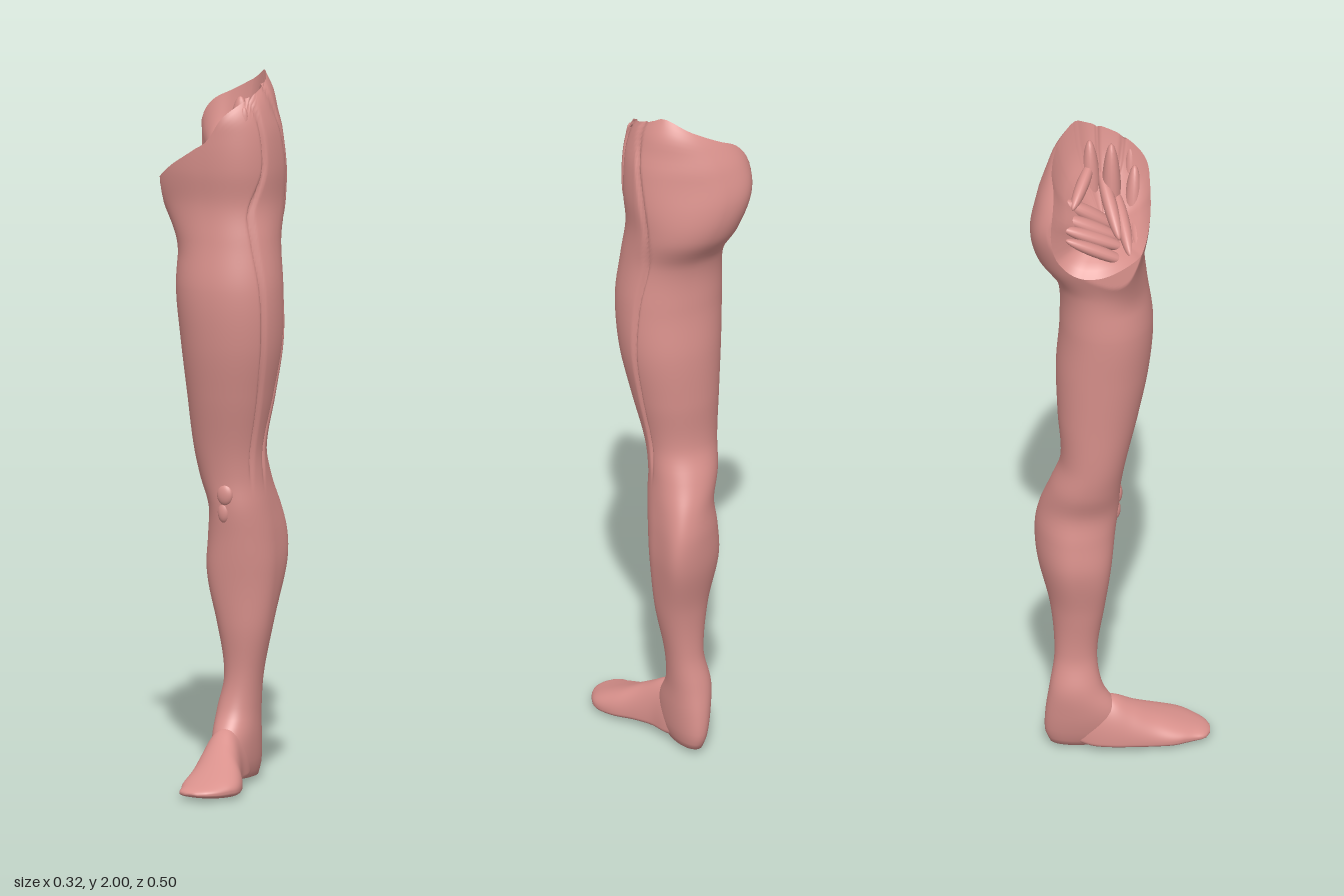
import * as THREE from 'three';

const SKIN = 0xd9918c;
const SEG = 160;
const CUT = -0.162; // flat inner cutting plane
const { lerp, clamp, degToRad, smoothstep } = THREE.MathUtils;

const makeMesh = (name, geo) => {
  const mesh = new THREE.Mesh(geo, new THREE.MeshStandardMaterial({ color: SKIN, side: THREE.DoubleSide }));
  mesh.name = name;
  return mesh;
};

// Skin a list of closed rings of equal length
function loft(rings, flip) {
  const n = rings[0].length, idx = [];
  for (let k = 0; k + 1 < rings.length; k++) {
    for (let i = 0; i < n; i++) {
      const a = k * n + i, b = k * n + (i + 1) % n, c = a + n, d = b + n;
      if (flip) idx.push(a, b, c, b, d, c);
      else idx.push(a, c, b, b, c, d);
    }
  }
  const geo = new THREE.BufferGeometry();
  geo.setAttribute('position', new THREE.Float32BufferAttribute(rings.flat(2), 3));
  geo.setIndex(idx);
  geo.computeVertexNormals();
  return geo;
}

// Smooth lookup in a table sorted by its first column
function sample(table, t) {
  let i = 0;
  while (i < table.length - 2 && t > table[i + 1][0]) i++;
  const at = (j) => table[clamp(j, 0, table.length - 1)];
  const p = at(i), q = at(i + 1), o = at(i - 1), r = at(i + 2);
  const h = q[0] - p[0], u = clamp((t - p[0]) / h, 0, 1);
  return p.map((v, c) => {
    const m0 = (q[c] - o[c]) / (q[0] - o[0]) * h, m1 = (r[c] - v) / (r[0] - p[0]) * h;
    const u2 = u * u, u3 = u2 * u;
    return (2 * u3 - 3 * u2 + 1) * v + (u3 - 2 * u2 + u) * m0 + (3 * u2 - 2 * u3) * q[c] + (u3 - u2) * m1;
  });
}

const spow = (v, p) => Math.sign(v) * Math.abs(v) ** p;
const bump = (v, centre, width) => Math.exp(-(((v - centre) / width) ** 2));

// height, inner x, outer x, back z, front z
const LEG = [
  [0.014, -0.03, 0.035, -0.19, -0.04],
  [0.05, -0.045, 0.045, -0.204, 0],
  [0.12, -0.06, 0.05, -0.203, 0],
  [0.2, -0.064, 0.05, -0.192, -0.045],
  [0.3, -0.044, 0.06, -0.178, -0.06],
  [0.45, -0.06, 0.09, -0.19, -0.04],
  [0.6, -0.09, 0.106, -0.226, -0.02],
  [0.7, -0.085, 0.104, -0.232, -0.01],
  [0.78, -0.078, 0.097, -0.218, 0],
  [0.86, -0.1, 0.09, -0.192, 0.005],
  [0.95, -0.112, 0.092, -0.162, 0.02],
  [1.1, -0.122, 0.125, -0.17, 0.055],
  [1.25, -0.133, 0.154, -0.174, 0.084],
  [1.4, -0.143, 0.16, -0.164, 0.095],
  [1.54, -0.14, 0.147, -0.172, 0.078],
  [1.64, -0.158, 0.142, -0.23, 0.07],
  [1.74, -0.175, 0.148, -0.247, 0.083],
  [1.84, -0.18, 0.142, -0.228, 0.087],
  [1.9, -0.16, 0.128, -0.205, 0.082],
  [1.95, -0.1, 0.112, -0.18, 0.04],
  [2, -0.025, 0.085, -0.14, -0.03],
];
// angle from the outer side towards the front, height of the open rim
const RIM = [[0, 1.98], [45, 1.935], [70, 1.89], [90, 1.81], [115, 1.75], [140, 1.69], [180, 1.63],
  [210, 1.68], [226, 1.86], [250, 1.925], [275, 1.97], [300, 1.995], [330, 2], [360, 1.98]];
// height and z of the two outer thigh grooves
const GROOVES = [
  [[0.84, -0.04], [1, -0.025], [1.3, 0.02], [1.6, 0.03], [1.75, 0], [1.97, 0.015]],
  [[0.84, -0.085], [1, -0.08], [1.4, -0.095], [1.68, -0.125], [1.95, -0.06]],
];

function legPoint(y, deg) {
  const [, x0, x1, z0, z1] = sample(LEG, y);
  const t = degToRad(deg), c = Math.cos(t), s = Math.sin(t);
  // Squarer at the hip, but rounded off behind the outer side
  const hip = bump(y, 1.78, 0.17);
  const p = 0.94 + hip * (c > 0 && s < 0 ? 0.12 : -0.14);
  // The calf bulges outwards and the buttock inwards
  const shift = s < 0 ? 0.045 * bump(y, 0.65, 0.17) - 0.045 * bump(y, 1.78, 0.11) : -0.02 * bump(y, 0.54, 0.13);
  // Drawn-out inner front corner of the cut
  const corner = bump(deg, 145, 32) * smoothstep(y, 1.48, 1.7);
  let x = (x0 + x1) / 2 + (x1 - x0) / 2 * spow(c, p) + shift * s * s - 0.045 * corner;
  const z = (z0 + z1) / 2 + (z1 - z0) / 2 * spow(s, p) + 0.018 * corner;
  if (c > 0 && y > 0.8) {
    const fade = smoothstep(y, 0.82, 0.95);
    for (const g of GROOVES) x -= 0.01 * fade * bump(z, sample(g, y)[1], 0.005);
  }
  return [Math.max(x, CUT), y, z];
}

const ring = (fn) => Array.from({ length: SEG }, (_, i) => fn(i * 360 / SEG));

export function createModel() {
  const leg = new THREE.Group();
  leg.name = 'leg';

  // Thigh, knee and calf, open along a slanted hip rim
  const rows = 120, rings = [ring(() => [0, 0.014, -0.12])];
  for (let k = 0; k <= rows; k++) {
    const y = 0.014 + k / rows * 1.986;
    rings.push(ring((d) => {
      const top = sample(RIM, d)[1];
      return legPoint(y < 1.4 ? y : 1.4 + (y - 1.4) / 0.6 * (top - 1.4), d);
    }));
  }
  leg.add(makeMesh('legSurface', loft(rings)));

  // Hollow lining below the rim
  const rim = rings[rings.length - 1];
  const lining = [0, 0.1, 0.25, 0.5, 0.75, 1].map((u) => rim.map(([x, y, z]) => [
    lerp(x, -0.02, u),
    lerp(y, 1.71, u ** 0.6),
    lerp(z, -0.04, u),
  ]));
  leg.add(makeMesh('hipLining', loft(lining)));

  // Cut muscle bellies inside the hip: start, end, radius
  const muscles = new THREE.Group();
  muscles.name = 'hipMuscles';
  [
    // Rising inside the outer front
    [[0.04, 1.55, 0.03], [0.09, 1.92, 0.035], 0.032],
    [[0.0, 1.58, 0.03], [0.05, 1.87, 0.045], 0.034],
    [[0.04, 1.55, -0.02], [0.05, 1.94, -0.02], 0.038],
    [[0.05, 1.6, -0.07], [0.07, 1.94, -0.08], 0.036],
    // Sweeping forwards along the flat cut
    [[-0.145, 1.75, -0.15], [-0.11, 1.65, 0.03], 0.024],
    [[-0.115, 1.77, -0.16], [-0.08, 1.68, 0.02], 0.026],
    [[-0.085, 1.79, -0.16], [-0.05, 1.69, 0.01], 0.028],
    [[-0.05, 1.82, -0.16], [-0.01, 1.7, 0.0], 0.03],
    // Crossing behind the front edge
    [[-0.15, 1.69, 0.055], [0.03, 1.74, 0.04], 0.026],
    [[-0.14, 1.69, 0.03], [0.06, 1.79, -0.01], 0.026],
    [[-0.1, 1.72, 0.0], [0.08, 1.84, -0.05], 0.026],
    [[-0.07, 1.8, -0.13], [0.09, 1.87, -0.07], 0.024],
  ].forEach(([a, b, r]) => {
    const p = new THREE.Vector3(...a), q = new THREE.Vector3(...b), dir = q.clone().sub(p);
    const m = makeMesh('muscleBelly', new THREE.SphereGeometry(1, 16, 20));
    m.position.copy(p).add(q).multiplyScalar(0.5);
    m.scale.set(r, dir.length() / 2, r * 0.75);
    m.quaternion.setFromUnitVectors(new THREE.Vector3(0, 1, 0), dir.normalize());
    muscles.add(m);
  });
  leg.add(muscles);

  // Kneecap and the tendon knob below it
  [['kneecap', 0.01, 0.82, -0.003, 0.024, 0.03], ['kneeTendon', 0.004, 0.77, -0.008, 0.018, 0.03]]
    .forEach(([name, x, y, z, w, h]) => {
      const m = makeMesh(name, new THREE.SphereGeometry(1, 20, 14));
      m.position.set(x, y, z);
      m.scale.set(w, h, 0.013);
      leg.add(m);
    });

  // Foot: z, inner x, outer x, bottom height, top height
  const FOOT = [
    [-0.15, -0.02, 0.02, 0.03, 0.08], [-0.08, -0.05, 0.046, 0.014, 0.15], [-0.02, -0.06, 0.058, 0.012, 0.158],
    [0.04, -0.055, 0.085, 0.008, 0.125], [0.1, -0.045, 0.12, 0.002, 0.091], [0.16, -0.035, 0.134, 0, 0.063],
    [0.21, -0.015, 0.112, 0.004, 0.043], [0.24, -0.003, 0.085, 0.01, 0.032], [0.252, 0.02, 0.06, 0.014, 0.025],
  ];
  const footRings = [ring(() => [0, 0.05, -0.15])];
  for (let k = 0; k <= 40; k++) {
    const [z, x0, x1, low, top] = sample(FOOT, -0.15 + k / 40 * 0.402);
    const mid = Math.min(low + 0.024, lerp(low, top, 0.45));
    footRings.push(ring((d) => {
      const t = degToRad(d), s = Math.sin(t);
      const y = mid + (s > 0 ? (top - mid) * s : (mid - low) * spow(s, 0.6));
      return [(x0 + x1) / 2 + (x1 - x0) / 2 * spow(Math.cos(t), 0.9), y, z];
    }));
  }
  footRings.push(ring(() => [0.04, 0.02, 0.253]));
  leg.add(makeMesh('foot', loft(footRings, true)));

  return leg;
}
